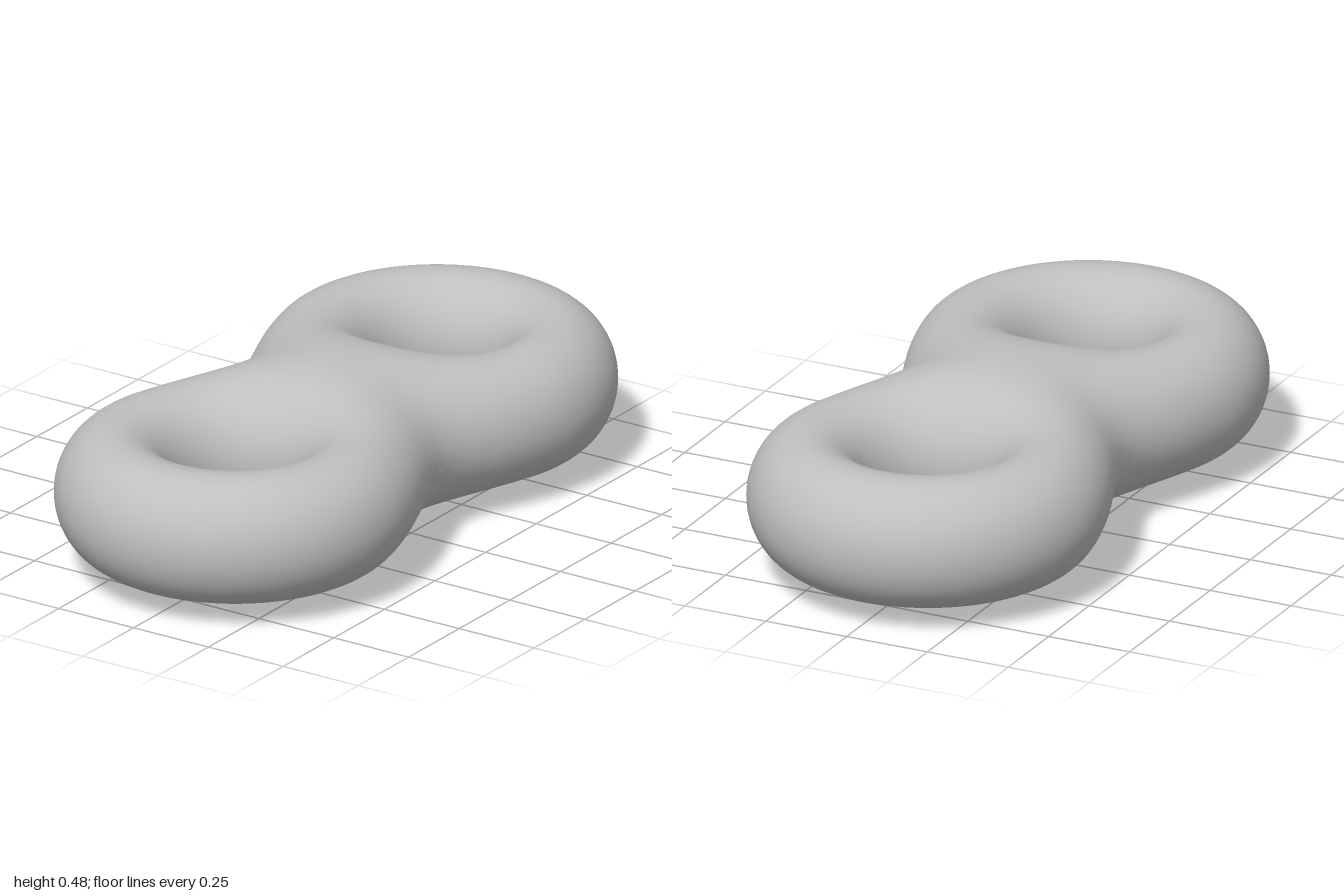
import * as THREE from 'three';

const R = 0.3375, C = 0.4975, A = 0.165, B = 0.1875, MID = 0.24;

// Elliptical-tube ring centred at z = c; 0 on its surface
const ring = (x, y, z, c) => Math.hypot((Math.hypot(x, z - c) - R) / A, y / B) - 1;

// Two rings melted together with a smooth union
function field(x, y, z) {
  const a = ring(x, y, z, C), b = ring(x, y, z, -C);
  const k = 2.4 + 3.2 * x * x;
  const h = Math.max(k - Math.abs(a - b), 0) / k;
  return Math.min(a, b) - h * h * k / 4;
}

// Finds where inside(t) turns false
function bisect(lo, hi, inside) {
  for (let i = 0; i < 36; i++) {
    const m = (lo + hi) / 2;
    if (inside(m)) lo = m; else hi = m;
  }
  return (lo + hi) / 2;
}

const polar = (theta, rho, y) => [rho * Math.sin(theta), y, C - rho * Math.cos(theta)];
const ray = (theta, phi, t) => polar(theta, R + t * Math.cos(phi), t * Math.sin(phi));

// Longest allowed ray: up to the seam plane z = 0 or the axis of the hole
function limit(theta, phi) {
  const ct = Math.cos(theta), cp = Math.cos(phi);
  let t = 0.6;
  if (cp < -1e-6) t = Math.min(t, R / -cp);
  if (cp > 1e-6 && ct > 1e-6) t = Math.min(t, (C / ct - R) / cp);
  return t;
}
const hitsSeam = (theta, phi) => {
  const t = limit(theta, phi);
  return t < 0.6 && Math.cos(phi) > 0 && field(...ray(theta, phi, t)) < 0;
};

// One ring half, open at the seam plane
function halfGeometry() {
  const corner = bisect(0, 1.2, (t) => field(...polar(t, C / Math.cos(t), 0)) < 0);
  const thetas = [];
  for (let i = 0; i < 36; i++) thetas.push(corner * Math.sin((i / 36 - 0.5) * Math.PI));
  for (let i = 0; i <= 72; i++) thetas.push(corner + (2 * Math.PI - 2 * corner) * i / 72);

  const N = 56, pos = [], nor = [], idx = [];
  thetas.forEach((theta, i) => {
    const start = hitsSeam(theta, 0) ? bisect(0, Math.PI / 2, (p) => hitsSeam(theta, p)) : 0;
    for (let j = 0; j <= N; j++) {
      const phi = start + (2 * Math.PI - 2 * start) * j / N;
      const t = bisect(0, limit(theta, phi), (s) => field(...ray(theta, phi, s)) < 0);
      const [x, y, z] = ray(theta, phi, t);
      const e = 1e-4;
      const n = new THREE.Vector3(
        field(x + e, y, z) - field(x - e, y, z),
        field(x, y + e, z) - field(x, y - e, z),
        field(x, y, z + e) - field(x, y, z - e)).normalize();
      pos.push(x, y + MID, z);
      nor.push(n.x, n.y, n.z);
      if (i < thetas.length - 1 && j < N) {
        const a = i * (N + 1) + j, b = a + N + 1;
        idx.push(a, a + 1, b, a + 1, b + 1, b);
      }
    }
  });
  const g = new THREE.BufferGeometry();
  g.setAttribute('position', new THREE.Float32BufferAttribute(pos, 3));
  g.setAttribute('normal', new THREE.Float32BufferAttribute(nor, 3));
  g.setIndex(idx);
  return g;
}

export function createModel() {
  const group = new THREE.Group();
  group.name = 'doubleTorus';
  const grey = new THREE.MeshStandardMaterial({ color: 0xbfbfbf });
  grey.name = 'grey';
  const geometry = halfGeometry();

  // Front ring, and the same ring turned round for the back
  ['frontRing', 'backRing'].forEach((name, i) => {
    const mesh = new THREE.Mesh(geometry, grey);
    mesh.name = name;
    mesh.rotation.y = i * Math.PI;
    group.add(mesh);
  });
  return group;
}
